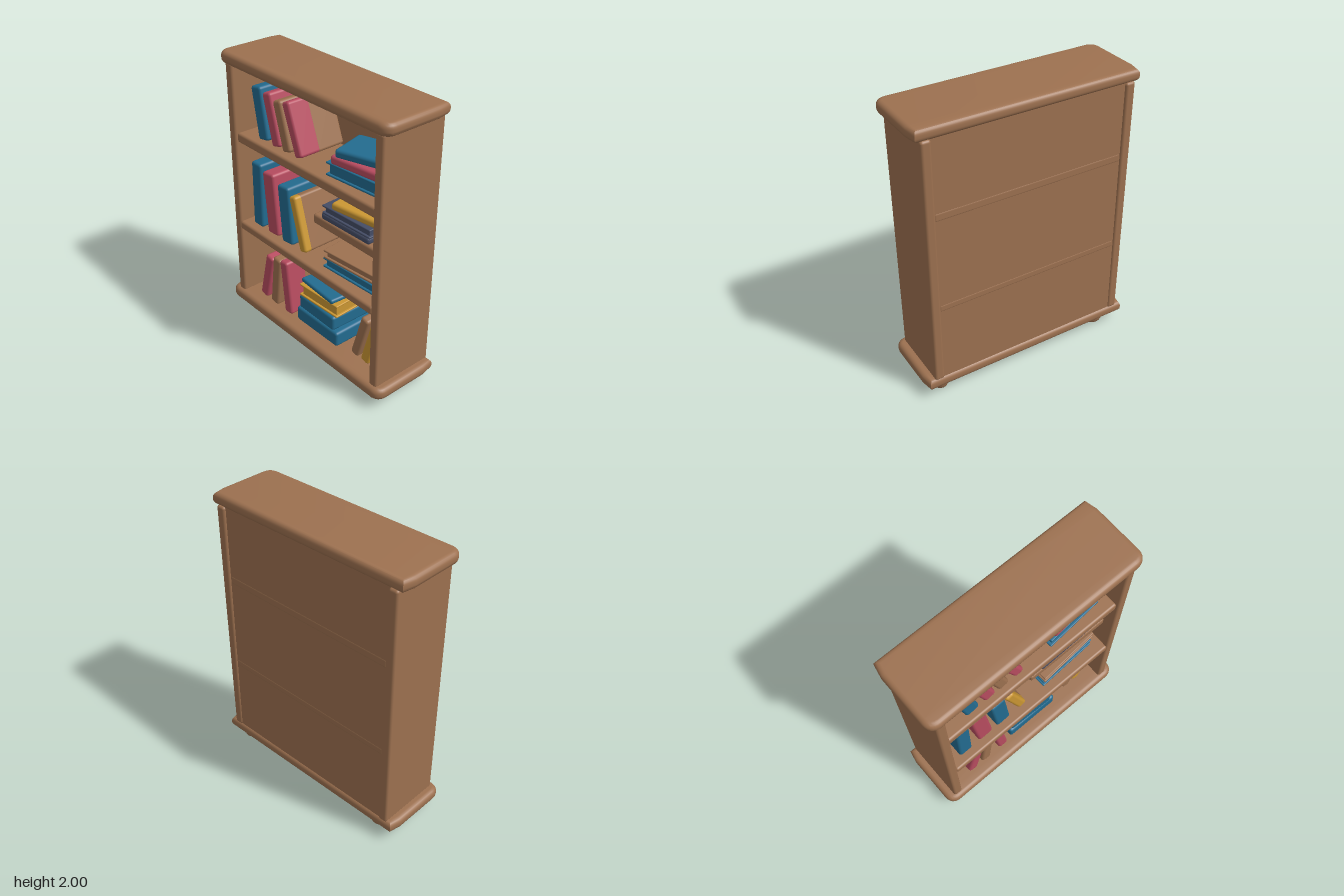
import * as THREE from 'three';
import { toCreasedNormals } from 'three/addons/utils/BufferGeometryUtils.js';
import { RoundedBoxGeometry } from 'three/addons/geometries/RoundedBoxGeometry.js';

const mat = (name, color) => new THREE.MeshStandardMaterial({ name, color });

export function createModel() {
  const wood = mat('wood', 0x9d7150);
  const blue = mat('blue', 0x236c90);
  const red = mat('red', 0xb84c60);
  const yellow = mat('yellow', 0xcb9733);
  const navy = mat('navy', 0x454d66);

  const root = new THREE.Group();
  root.name = 'bookcase';

  function add(name, geometry, material, x, y, z, parent = root) {
    const mesh = new THREE.Mesh(geometry, material);
    mesh.name = name;
    mesh.position.set(x, y, z);
    parent.add(mesh);
    return mesh;
  }

  // Rounded box given by its limits
  function box(name, material, [x0, x1], [y0, y1], [z0, z1], r, parent = root) {
    const w = x1 - x0, h = y1 - y0, d = z1 - z0;
    const geometry = new RoundedBoxGeometry(w, h, d, 3, Math.min(r, w * 0.45, h * 0.45, d * 0.45));
    return add(name, geometry, material, (x0 + x1) / 2, (y0 + y1) / 2, (z0 + z1) / 2, parent);
  }

  // Top and base: rounded front corners in plan, soft edge all around
  function slab(name, halfWidth, y0, y1) {
    const b = 0.034, w = halfWidth - b, back = -0.25 + b, front = 0.26 - b, r = 0.045;
    const s = new THREE.Shape();
    s.moveTo(-w + 0.012, -back);
    s.lineTo(-w, -back - 0.06);
    s.lineTo(-w, -front + r);
    s.quadraticCurveTo(-w, -front, -w + r, -front);
    s.lineTo(w - r, -front);
    s.quadraticCurveTo(w, -front, w, -front + r);
    s.lineTo(w, -back - 0.06);
    s.lineTo(w - 0.012, -back);
    s.closePath();
    const g = new THREE.ExtrudeGeometry(s, {
      depth: y1 - y0 - 2 * b, bevelEnabled: true, bevelSize: b, bevelThickness: b, bevelSegments: 5, curveSegments: 8,
    });
    g.rotateX(-Math.PI / 2);
    add(name, toCreasedNormals(g, 0.7), wood, 0, y0 + b, 0);
  }
  slab('top', 0.79, 1.915, 2);
  slab('base', 0.8, 0.07, 0.155);

  // Side panels, slightly deeper at the top
  for (const [name, s] of [['leftSide', 1], ['rightSide', -1]]) {
    const side = box(name, wood, [s * 0.707 - 0.034, s * 0.707 + 0.034], [0.14, 1.925], [-0.25, 0.232], 0.018);
    const p = side.geometry.attributes.position;
    for (let i = 0; i < p.count; i++) p.setZ(i, p.getZ(i) * (1 + 0.022 * p.getY(i)));
  }

  // Back panel and shelves
  box('backPanel', wood, [-0.69, 0.69], [0.14, 1.93], [-0.236, -0.205], 0.004);
  box('upperShelf', wood, [-0.68, 0.682], [1.365, 1.435], [-0.238, 0.215], 0.018);
  box('lowerShelf', wood, [-0.68, 0.682], [0.69, 0.752], [-0.238, 0.23], 0.018);
  box('smallShelf', wood, [0.035, 0.682], [1.03, 1.1], [-0.225, 0.15], 0.018);

  // Turned feet
  for (const [x, r] of [[-0.61, 0.088], [0.665, 0.068]]) {
    for (const z of [0.135, -0.135]) {
      const profile = [[0, 0], [0.6, 0], [0.78, 0.008], [0.88, 0.025], [1, 0.062], [0.98, 0.08]]
        .map(([a, y]) => new THREE.Vector2(a * r, y));
      const foot = add('foot', new THREE.LatheGeometry(profile, 24), wood, x, 0, z);
      foot.scale.z = 0.08 / r;
    }
  }

  // Standing books: colour, centre x, centre y, thickness, height, lean, where the plain rear part starts
  const standing = [
    [blue, -0.48, 1.625, 0.1, 0.365, 0.19],
    [red, -0.357, 1.62, 0.085, 0.36, 0.27],
    [wood, -0.25, 1.61, 0.082, 0.34, 0.29],
    [red, -0.145, 1.622, 0.072, 0.365, 0.36, 0],
    [blue, -0.545, 0.997, 0.103, 0.49, 0],
    [red, -0.395, 0.985, 0.118, 0.46, 0.1],
    [blue, -0.238, 0.968, 0.115, 0.425, 0.095],
    [yellow, -0.105, 0.953, 0.068, 0.395, 0.29, 0.1],
    [red, -0.473, 0.355, 0.078, 0.38, -0.23],
    [wood, -0.37, 0.364, 0.08, 0.4, -0.11],
    [red, -0.25, 0.37, 0.08, 0.415, 0.12, 0],
    [wood, 0.472, 0.346, 0.068, 0.355, -0.28],
    [yellow, 0.567, 0.343, 0.072, 0.355, -0.27],
  ];
  for (const [material, x, y, w, h, lean, split] of standing) {
    const book = new THREE.Group();
    book.name = 'standingBook';
    book.position.set(x, y, 0);
    book.rotation.z = lean;
    const front = x > 0.4 ? 0.13 : 0.17;
    box('cover', material, [-w / 2, w / 2], [-h / 2, h / 2], [split ?? -0.19, front], 0.02, book);
    if (split !== undefined) {
      box('rearCover', wood, [-w / 2, w / 2], [-h / 2, h / 2], [-0.19, split + 0.03], 0.018, book);
    }
    root.add(book);
  }

  // Lying books: colour, x range, y range, turn, tilt, open page edge
  const lying = [
    [blue, 0.15, 0.6, 1.437, 1.53, 0.08, 0, true],
    [red, 0.175, 0.585, 1.525, 1.585, 0.12, 0],
    [blue, 0.185, 0.605, 1.588, 1.645, 0.26, 0.025],
    [navy, 0.115, 0.555, 1.1, 1.15, 0.02, 0],
    [navy, 0.125, 0.56, 1.147, 1.21, 0.03, 0, true],
    [yellow, 0.185, 0.605, 1.212, 1.265, 0.13, 0],
    [blue, 0.13, 0.605, 0.752, 0.825, 0.05, 0, true],
    [wood, 0.13, 0.63, 0.825, 0.888, 0.08, 0, true],
    [blue, -0.145, 0.28, 0.155, 0.267, 0, 0],
    [blue, -0.125, 0.25, 0.27, 0.378, -0.02, 0],
    [yellow, -0.12, 0.265, 0.385, 0.48, 0.04, 0, true],
    [blue, -0.12, 0.255, 0.48, 0.515, -0.08, 0.012],
  ];
  for (const [material, x0, x1, y0, y1, turn, tilt, open] of lying) {
    const d = 0.34 - Math.abs(turn) * 0.25, h = y1 - y0;
    const w = (x1 - x0 - d * Math.sin(Math.abs(turn))) / Math.cos(turn);
    const book = new THREE.Group();
    book.name = 'lyingBook';
    book.position.set((x0 + x1) / 2, (y0 + y1) / 2, -0.015);
    book.rotation.set(0, turn, tilt);
    const X = [-w / 2, w / 2], Z = [-d / 2, d / 2];
    if (open) {
      const t = 0.014;
      box('topCover', material, X, [h / 2 - t, h / 2], Z, 0.006, book);
      box('bottomCover', material, X, [-h / 2, -h / 2 + t], Z, 0.006, book);
      box('pages', material, [X[0] + 0.02, X[1] - 0.015], [-h / 2 + t / 2, h / 2 - t / 2], [Z[0] + 0.015, Z[1] - 0.015], 0.004, book);
    } else {
      box('cover', material, X, [-h / 2, h / 2], Z, 0.02, book);
    }
    root.add(book);
  }

  return root;
}
